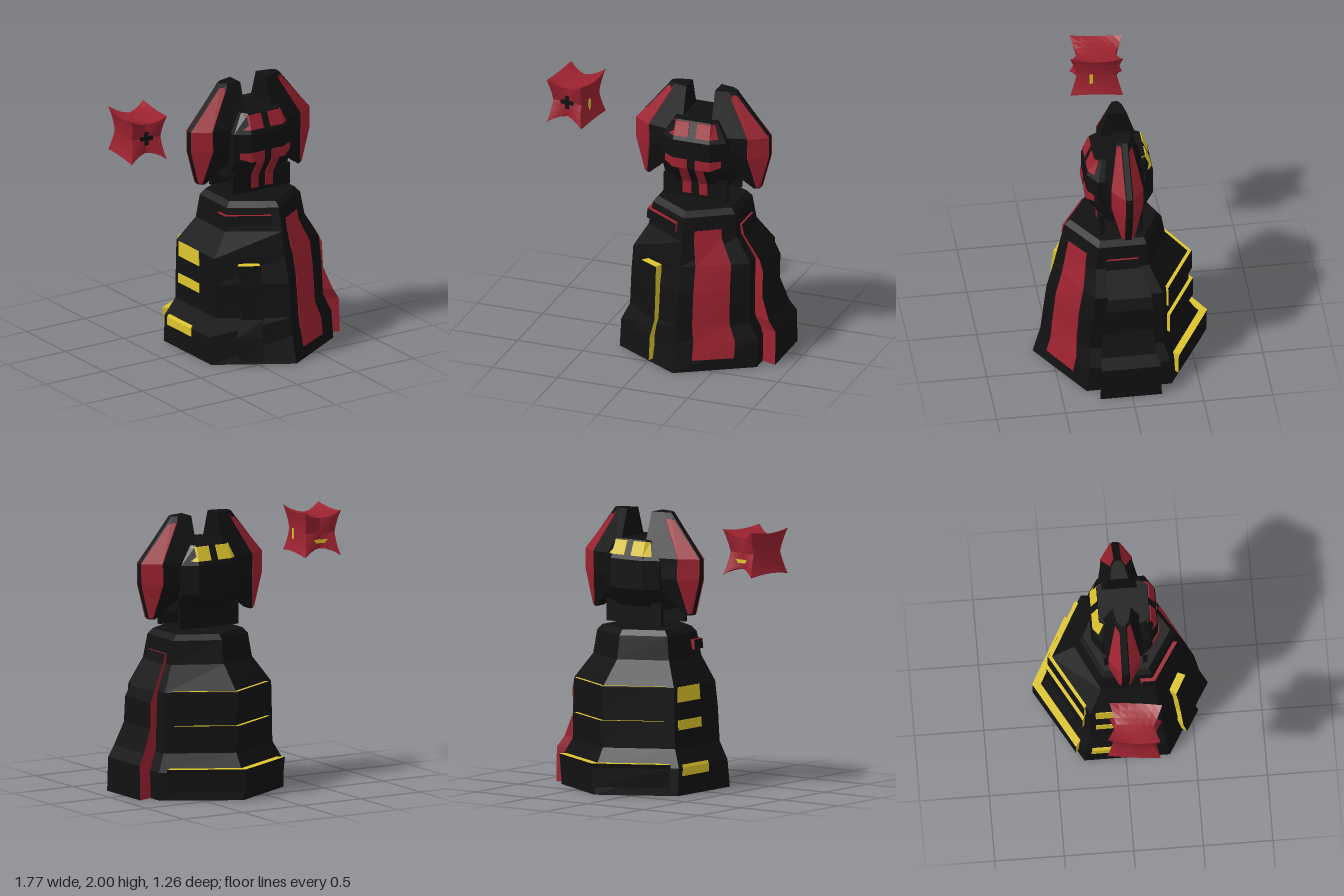
import * as THREE from 'three';

const paint = (color) => new THREE.MeshStandardMaterial({ color, flatShading: true, side: THREE.DoubleSide });
const V = (x, y, z) => new THREE.Vector3(x, y, z);

// Skin rows of points (bottom to top); closed rows wrap around, caps fill the ends.
function skin(rows, closed = false, caps = false) {
  const pos = [];
  const tri = (...pts) => pts.forEach((p) => pos.push(p.x, p.y, p.z));
  const n = rows[0].length;
  for (let i = 0; i + 1 < rows.length; i++) {
    for (let j = 0; j < (closed ? n : n - 1); j++) {
      const k = (j + 1) % n;
      const a = rows[i][j], b = rows[i][k], c = rows[i + 1][k], d = rows[i + 1][j];
      tri(a, b, c);
      tri(a, c, d);
    }
  }
  if (caps) {
    const bottom = rows[0], top = rows[rows.length - 1];
    for (let j = 1; j < n - 1; j++) {
      tri(bottom[0], bottom[j + 1], bottom[j]);
      tri(top[0], top[j], top[j + 1]);
    }
  }
  const g = new THREE.BufferGeometry();
  g.setAttribute('position', new THREE.Float32BufferAttribute(pos, 3));
  g.computeVertexNormals();
  return g;
}

// Robe rings: y, half width, front corner z, back corner z
const ROBE = [
  [0, 0.525, 0.63, -0.6], [0.2, 0.525, 0.575, -0.58], [0.33, 0.46, 0.56, -0.5], [0.58, 0.455, 0.53, -0.5],
  [0.77, 0.45, 0.48, -0.5], [0.95, 0.34, 0.44, -0.33], [1.12, 0.315, 0.4, -0.3], [1.16, 0.28, 0.36, -0.27],
];
const hexRing = ([y, d, f, b]) =>
  [V(0, y, f), V(d, y, f / 2), V(d, y, b / 2), V(0, y, b), V(-d, y, b / 2), V(-d, y, f / 2)];

// Point on the robe: t counts hexagon corners from the front towards +x, k scales it outwards.
function onRobe(t, y, k) {
  let i = 0;
  while (i < ROBE.length - 2 && ROBE[i + 1][0] < y) i++;
  const s = (y - ROBE[i][0]) / (ROBE[i + 1][0] - ROBE[i][0]);
  const ring = hexRing(ROBE[i].map((v, n) => v + (ROBE[i + 1][n] - v) * s));
  const p = ring[Math.floor(t) % 6].clone().lerp(ring[(Math.floor(t) + 1) % 6], t % 1);
  return V(p.x * k, y, p.z * k);
}

export function createModel() {
  const black = paint(0x111111), red = paint(0x9c2230), yellow = paint(0xdcc42c);
  const model = new THREE.Group();
  const figure = new THREE.Group();
  figure.name = 'figure';
  figure.position.x = 0.24;
  model.add(figure);

  const add = (parent, name, geometry, material) => {
    const m = new THREE.Mesh(geometry, material);
    m.name = name;
    parent.add(m);
    return m;
  };
  const box = (parent, name, mat, w, h, d, x, y, z) =>
    add(parent, name, new THREE.BoxGeometry(w, h, d), mat).position.set(x, y, z);

  // Raised plate: an outer face and a rim sinking towards the axis
  const plate = (parent, name, rows, face, rim, inset = 0.05) => {
    const g = new THREE.Group();
    g.name = name;
    parent.add(g);
    const last = rows[0].length - 1;
    const edge = [...rows[0], ...rows.slice(1, -1).map((r) => r[last]),
      ...[...rows[rows.length - 1]].reverse(), ...rows.slice(1, -1).reverse().map((r) => r[0])];
    const inner = edge.map((p) => V(p.x * (1 - inset), p.y, p.z * (1 - inset)));
    add(g, name + 'Face', skin(rows), face);
    add(g, name + 'Rim', skin([inner, edge], true), rim);
  };
  // Plate on the robe: levels are [y, outward scale]
  const robePlate = (name, ts, levels, face, rim, inset) =>
    plate(figure, name, levels.map(([y, k]) => ts.map((t) => onRobe(t, y, k))), face, rim, inset);

  // Robe and its trims
  add(figure, 'robe', skin(ROBE.map(hexRing), true, true), black);
  robePlate('frontPanel', [0.22, 0.72],
    [0.08, 0.2, 0.33, 0.58, 0.77, 0.95, 1.02].map((y) => [y, 1.012]), red, red);
  robePlate('sideSlab', [1.2, 1.8],
    [[0, 1.21], [0.25, 1.27], [0.33, 1.27], [0.5, 1.14], [0.69, 1.15], [0.77, 1.08], [0.95, 1.08], [1.02, 1.05]],
    black, red, 0.2);
  robePlate('narrowSlab', [5.34, 5.62],
    [[0.03, 1.08], [0.2, 1.1], [0.33, 1.09], [0.58, 1.1], [0.73, 1.14]], black, yellow, 0.12);
  robePlate('collarBracket', [4.75, 5, 5.82], [[1.0, 1.06], [1.07, 1.08]], black, red, 0.1);
  [
    ['lower', 2.13, [[0.06, 1.06], [0.2, 1.086], [0.23, 1.13]]],
    ['middle', 2.15, [[0.38, 1.06], [0.53, 1.06]]],
    ['upper', 2.12, [[0.62, 1.045], [0.77, 1.045], [0.78, 1.06]]],
  ].forEach(([n, t, levels]) => robePlate(n + 'BackBand', [t, 3, 6 - t], levels, black, yellow, 0.1));
  [[0.14, 0.2, 0.22], [0.46, 0.53], [0.66, 0.77]].forEach((ys, i) =>
    robePlate('sideVent' + (i + 1), [4.08, 4.6], ys.map((y) => [y, 1.012]), yellow, yellow));

  // Helmet: eight-sided rings of y, half width, front half width, front z, back z, corner bevel
  const head = new THREE.Group();
  head.name = 'head';
  figure.add(head);
  const helmet = [
    [1.3, 0.245, 0.14, 0.165, -0.125, 0.05], [1.45, 0.245, 0.14, 0.26, -0.22, 0.07],
    [1.66, 0.245, 0.14, 0.26, -0.22, 0.07], [1.8, 0.16, 0.13, 0.2, -0.16, 0.05],
  ].map(([y, h, f, a, b, c]) => [V(-f, y, a), V(f, y, a), V(h, y, a - c), V(h, y, b + c),
    V(f, y, b), V(-f, y, b), V(-h, y, b + c), V(-h, y, a - c)]);
  add(head, 'helmet', skin(helmet, true, true), black);
  box(head, 'frontNeckPlate', black, 0.49, 0.16, 0.03, 0, 1.27, 0.16);
  box(head, 'backNeckPlate', black, 0.49, 0.16, 0.03, 0, 1.27, -0.12);

  // Ear fin rings: y, ridge x, shoulder x, shoulder z, inner x, inner z
  const fin = [
    [1.27, -0.44, -0.42, 0.04, -0.4, 0.045], [1.53, -0.51, -0.375, 0.11, -0.12, 0.16],
    [1.68, -0.51, -0.38, 0.11, -0.11, 0.17], [2.0, -0.25, -0.21, 0.045, -0.11, 0.065],
  ];
  const finRings = fin.map(([y, o, s, sz, i, iz]) =>
    [V(i, y, iz), V(i, y, -iz), V(s, y, -sz), V(o, y, -0.02), V(o, y, 0.02), V(s, y, sz)]);

  for (const side of [-1, 1]) {
    const half = new THREE.Group();
    half.name = side < 0 ? 'rightHeadHalf' : 'leftHeadHalf';
    half.scale.x = -side;
    head.add(half);

    // Ear fin with a coloured plate on each slanted face
    add(half, 'earFin', skin(finRings, true, true), black);
    for (const z of [1, -1]) {
      plate(half, z > 0 ? 'frontEarPlate' : 'backEarPlate', fin.map(([y, o, s, sz]) => [0, 0.96].map((u) =>
        V(s + (o - s) * u - 0.006, y + (y > 1.9 ? -0.02 : y < 1.3 ? 0.01 : 0), z * (sz + (0.02 - sz) * u + 0.006)))),
        red, red, 0.02);
      // Eyes at the front, matching plates at the back
      const dz = z > 0 ? 0 : -0.04;
      plate(half, z > 0 ? 'eye' : 'backEye', [[1.69, 0.252, 0.138, 0.19, 0.04], [1.79, 0.212, 0.132, 0.155, 0.035]]
        .map(([y, a, f, x, c]) => [V(-0.03, y, z * (a + dz)), V(-f, y, z * (a + dz)), V(-x, y, z * (a + dz - c))]),
        z > 0 ? red : yellow, z > 0 ? red : yellow);
    }

    // Mouth guard: cheek bar and stem
    plate(half, 'cheekBar', [[1.45, 1.45, 1.475], [1.52, 1.52, 1.52]].map(([a, b, c]) =>
      [V(-0.03, a, 0.267), V(-0.14, b, 0.267), V(-0.215, c, 0.218)]), red, red);
    plate(half, 'mouthStem', [[1.22, 0.18], [1.31, 0.183], [1.45, 0.267], [1.5, 0.267]].map(([y, z]) =>
      [V(-0.03, y, z), V(-0.095, y, z)]), red, red);
  }

  // Floating cube with flared corners
  const orb = new THREE.Group();
  orb.name = 'floatingCube';
  orb.position.set(-0.73, 1.775, 0.03);
  orb.rotation.y = -0.12;
  model.add(orb);
  const cube = new THREE.BoxGeometry(2, 2, 2, 6, 6, 6);
  const p = cube.attributes.position;
  for (let i = 0; i < p.count; i++) {
    const u = p.getX(i), v = p.getY(i), w = p.getZ(i);
    const belt = 0.12 * (1 - w * w);
    p.setXYZ(i,
      0.115 * u * (1 + 0.22 * v * v + belt),
      0.11 * v * (1 + 0.5 * u * u * (0.4 + 0.6 * w * w) + belt),
      0.135 * w * (1 + 0.4 * Math.abs(u * v)));
  }
  cube.computeVertexNormals();
  add(orb, 'cubeShell', cube, red);
  box(orb, 'crossBar', black, 0.1, 0.03, 0.02, 0, 0, 0.135);
  box(orb, 'crossPost', black, 0.03, 0.1, 0.02, 0, 0, 0.135);
  box(orb, 'sideStripe', yellow, 0.02, 0.11, 0.025, 0.123, -0.04, 0.04);
  box(orb, 'backStripe', yellow, 0.11, 0.025, 0.02, 0, -0.06, -0.135);

  return model;
}
